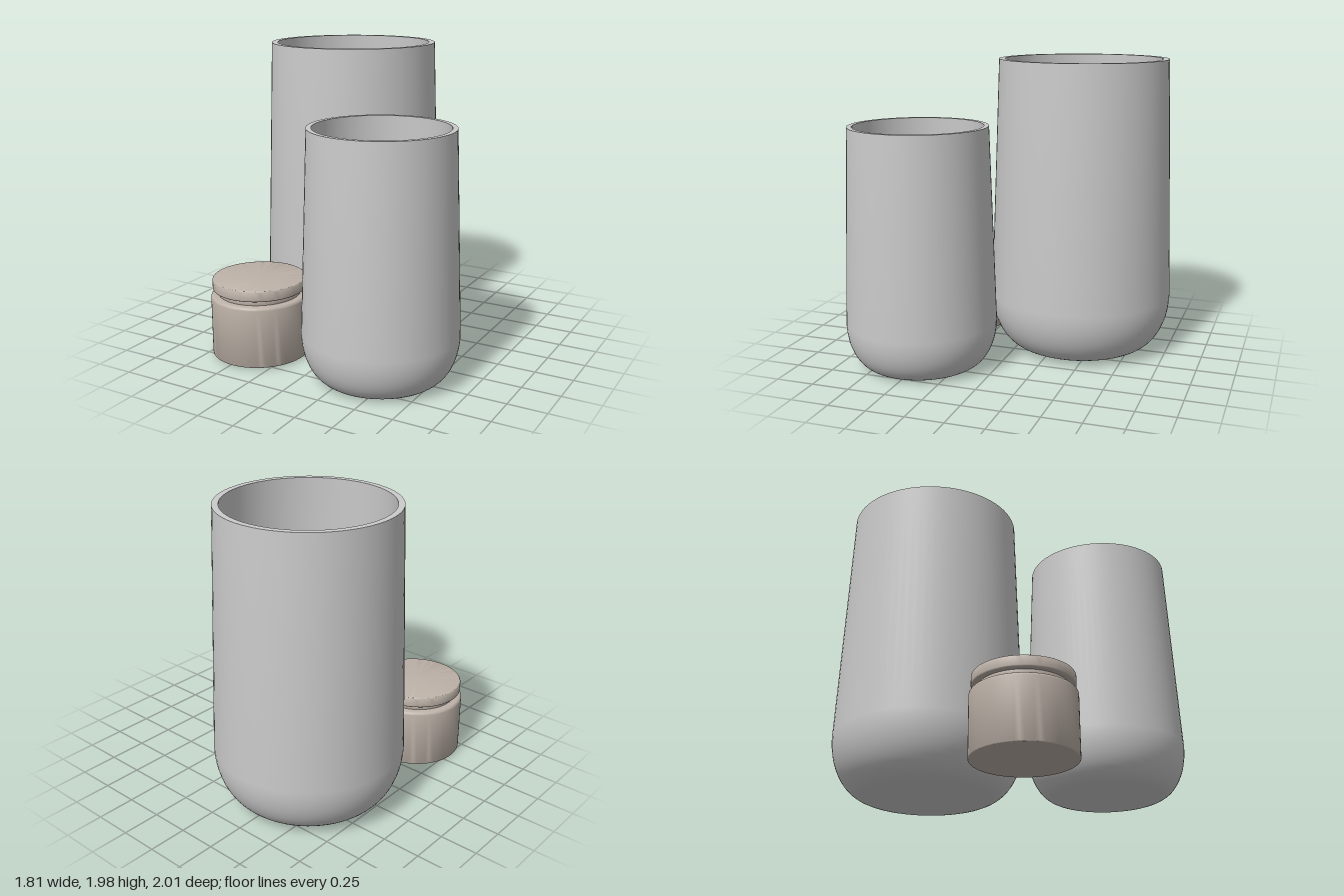
import * as THREE from 'three';
import { toCreasedNormals } from 'three/addons/utils/BufferGeometryUtils.js';

const SEGMENTS = 72;
const ceramic = new THREE.MeshStandardMaterial({ color: 0xcbcbcb });
ceramic.name = 'pale grey ceramic';
const clay = new THREE.MeshStandardMaterial({ color: 0xbdb2a8 });
clay.name = 'warm taupe';

// Points on a quarter of an ellipse or any other arc, angles in quarter turns
function arc(cx, cy, rx, ry, from, to, steps) {
  return Array.from({ length: steps + 1 }, (_, i) => {
    const a = (from + (to - from) * i / steps) * Math.PI / 2;
    return [cx + rx * Math.cos(a), cy + ry * Math.sin(a)];
  });
}

function turned(name, profile, material) {
  const points = profile.map(([x, y]) => new THREE.Vector2(Math.max(0, x), y));
  const geometry = toCreasedNormals(new THREE.LatheGeometry(points, SEGMENTS), 0.6);
  const mesh = new THREE.Mesh(geometry, material);
  mesh.name = name;
  return mesh;
}

// Open vase: rounded foot, gently tapering wall, flat rim and hollow inside
function vase(name, height, belly, top, foot, bend, wall) {
  return turned(name, [
    [0, 0],
    ...arc(foot, bend, belly - foot, bend, -1, 0, 14),
    [top, height],
    [top - wall, height],
    ...arc(foot, bend, belly - wall - foot, bend - wall, 0, -1, 14),
    [0, wall],
  ], ceramic);
}

// Solid disc with softly rounded edges
function disc(name, radius, bottom, top, lowRound, highRound) {
  return turned(name, [
    [0, bottom],
    ...arc(radius - lowRound, bottom + lowRound, lowRound, lowRound, -1, 0, 4),
    ...arc(radius - highRound, top - highRound, highRound, highRound, 0, 1, 4),
    [0, top],
  ], clay);
}

export function createModel() {
  const model = new THREE.Group();
  model.name = 'vaseSet';

  const tall = vase('tallVase', 1.97, 0.615, 0.563, 0.38, 0.37, 0.04);
  tall.position.set(-0.29, 0.01, -0.39);

  const small = vase('smallVase', 1.58, 0.495, 0.45, 0.32, 0.3, 0.032);
  small.position.set(0.41, 0, 0.505);

  // Squat jar with a recessed neck and a flat lid
  const jar = new THREE.Group();
  jar.name = 'liddedJar';
  jar.add(
    disc('jarBody', 0.318, 0.01, 0.415, 0.008, 0.02),
    disc('jarNeck', 0.268, 0.4, 0.46, 0.004, 0.004),
    disc('jarLid', 0.306, 0.45, 0.523, 0.01, 0.012),
  );
  jar.position.set(-0.467, 0, 0.552);

  model.add(tall, small, jar);
  return model;
}
